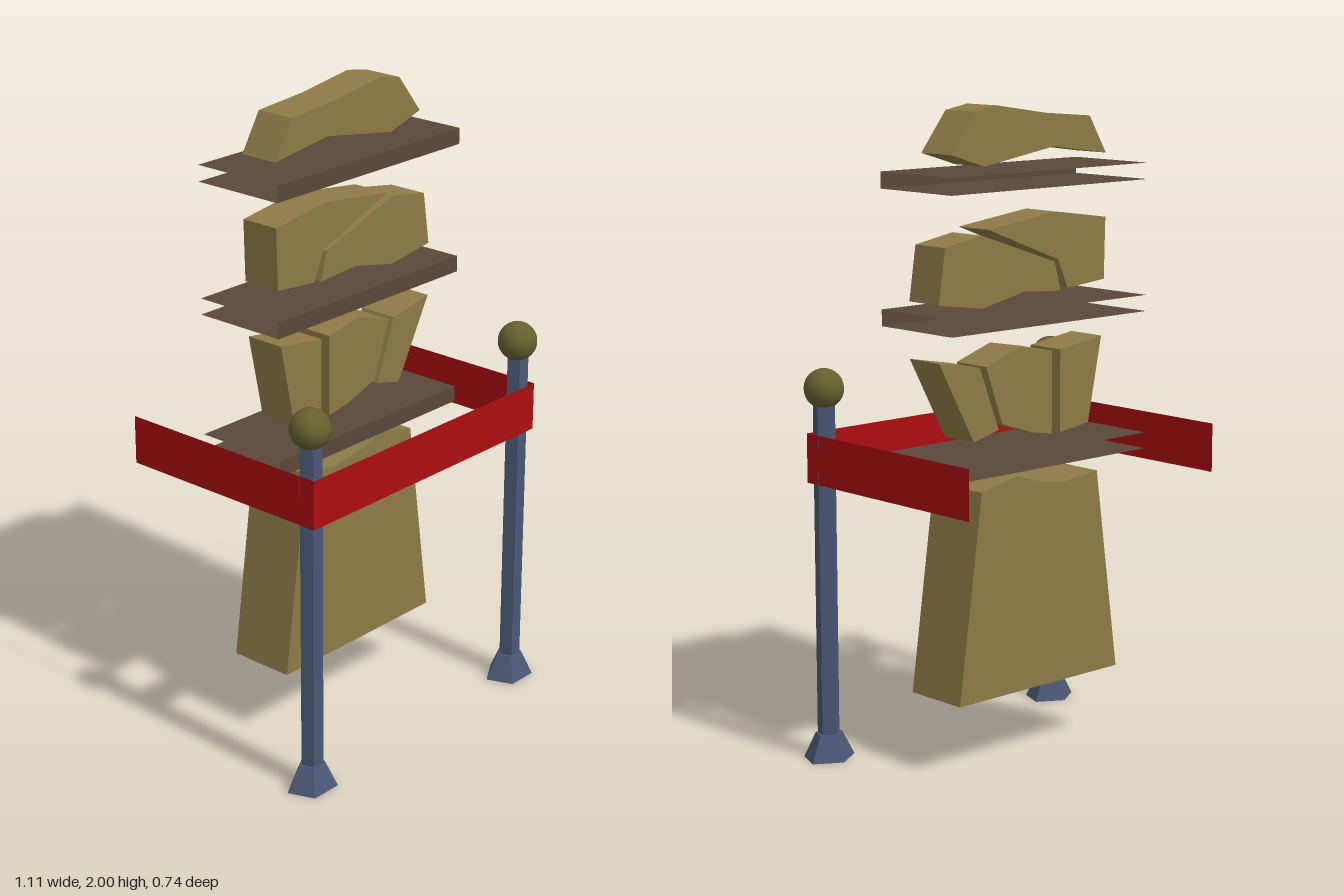
import * as THREE from 'three';

const stone = new THREE.MeshStandardMaterial({ color: 0x8f7a48 });
stone.name = 'stone';
const wood = new THREE.MeshStandardMaterial({ color: 0x5a4838, side: THREE.DoubleSide });
wood.name = 'darkWood';
const red = new THREE.MeshStandardMaterial({ color: 0xad0d10, side: THREE.DoubleSide });
red.name = 'redBand';
const steel = new THREE.MeshStandardMaterial({ color: 0x4a5775 });
steel.name = 'blueSteel';
const brass = new THREE.MeshStandardMaterial({ color: 0x66602f });
brass.name = 'dullBrass';

function add(parent, name, geometry, material, x = 0, y = 0, z = 0) {
  const mesh = new THREE.Mesh(geometry, material);
  mesh.name = name;
  mesh.position.set(x, y, z);
  parent.add(mesh);
  return mesh;
}

// Stone slab cut from a front outline, between two depths
function slab(parent, name, points, back, front) {
  const shape = new THREE.Shape(points.map(([x, y]) => new THREE.Vector2(x, y)));
  const geometry = new THREE.ExtrudeGeometry(shape, { depth: front - back, bevelEnabled: false });
  add(parent, name, geometry, stone, 0, 0, back);
}

// Faceted five-sided column with its point to the back
function pentagon(top, bottom, height) {
  const g = new THREE.CylinderGeometry(top, bottom, height, 5).rotateY(Math.PI).toNonIndexed();
  g.computeVertexNormals();
  return g;
}

export function createModel() {
  const model = new THREE.Group();
  model.name = 'displayedStoneTablet';

  // Base block with an uneven broken top
  slab(model, 'baseBlock', [
    [-0.33, 0.23], [0.33, 0.23], [0.24, 0.87], [0.1, 0.9], [0, 0.87], [-0.1, 0.855], [-0.24, 0.87],
  ], -0.135, 0.08);

  // Broken fragments
  const fragments = {
    lowerLeftFragment: [[-0.24, 1.015], [-0.12, 1.0], [-0.12, 1.255], [-0.295, 1.28]],
    lowerMiddleFragment: [[-0.085, 1.0], [0, 1.015], [0.12, 1.055], [0.185, 1.235], [0.05, 1.28], [-0.085, 1.255]],
    lowerRightFragment: [[0.135, 1.04], [0.235, 1.015], [0.37, 1.265], [0.21, 1.235]],
    upperLeftFragment: [[-0.305, 1.455], [-0.15, 1.44], [-0.11, 1.53], [0.175, 1.64], [-0.1, 1.675], [-0.31, 1.645]],
    upperRightFragment: [[-0.12, 1.435], [0.03, 1.445], [0.2, 1.41], [0.37, 1.435], [0.345, 1.6], [0.2, 1.625], [-0.095, 1.525]],
    topFragment: [[-0.31, 1.84], [-0.09, 1.87], [0.19, 1.825], [0.32, 1.865], [0.225, 1.985], [0.14, 2.0], [-0.06, 1.97], [-0.24, 1.955]],
  };
  for (const [name, points] of Object.entries(fragments)) slab(model, name, points, -0.095, 0.035);

  // Shelves: top and bottom sheets joined by a front strip, open at the ends and back
  [0.975, 1.405, 1.81].forEach((y) => {
    const shelf = new THREE.Group();
    shelf.name = 'shelf';
    shelf.position.set(0, y, -0.03);
    const sheet = new THREE.PlaneGeometry(0.8, 0.31);
    add(shelf, 'shelfTop', sheet, wood).rotation.x = -Math.PI / 2;
    add(shelf, 'shelfBottom', sheet, wood, 0, -0.05).rotation.x = Math.PI / 2;
    add(shelf, 'shelfFront', new THREE.PlaneGeometry(0.8, 0.05), wood, 0, -0.025, 0.155);
    model.add(shelf);
  });

  // Barrier posts and side bands
  for (const side of [-1, 1]) {
    const post = new THREE.Group();
    post.name = side > 0 ? 'leftPost' : 'rightPost';
    post.position.set(side * 0.472, 0, 0.312);
    add(post, 'postFoot', pentagon(0.045, 0.0865, 0.08), steel, 0, 0.04).scale.z = 0.84;
    add(post, 'postShaft', pentagon(0.035, 0.035, 1.06), steel, 0, 0.59);
    add(post, 'postBall', new THREE.SphereGeometry(0.061, 24, 16), brass, 0, 1.154);
    model.add(post);

    const band = add(model, side > 0 ? 'leftBand' : 'rightBand',
      new THREE.PlaneGeometry(0.727, 0.152), red, side * 0.505, 0.939, -0.008);
    band.rotation.y = side * Math.PI / 2;
  }
  add(model, 'frontBand', new THREE.PlaneGeometry(1.01, 0.152), red, 0, 0.939, 0.355);

  return model;
}
